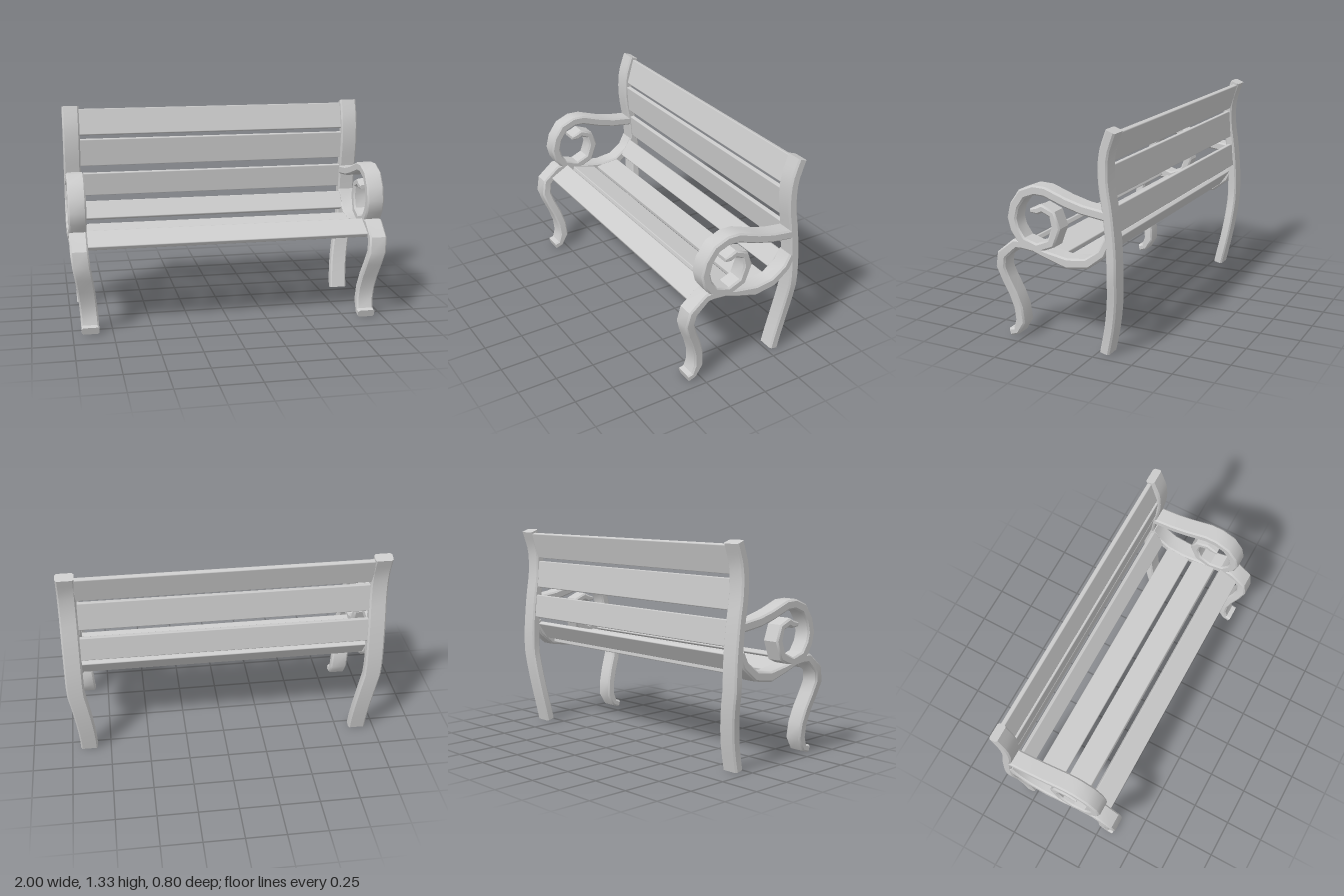
import * as THREE from 'three';
import { toCreasedNormals } from 'three/addons/utils/BufferGeometryUtils.js';
import { RoundedBoxGeometry } from 'three/addons/geometries/RoundedBoxGeometry.js';

const material = new THREE.MeshStandardMaterial({ color: 0xcccccc });
const SIDE_X = 0.945, HALF_DEPTH = 0.055, BEVEL = 0.01;

// Legs lean inward below the seat
const splay = (y) => 0.055 * Math.sin(Math.PI / 2 * THREE.MathUtils.clamp((0.5 - y) / 0.5, 0, 1));

// Sweeps a bevelled bar along a mitred path of [z, y, optional half width]
function bar(name, side, path, halfWidth) {
  const pos = [], index = [], n = path.length;
  const direction = (i) => new THREE.Vector2(path[i + 1][0] - path[i][0], path[i + 1][1] - path[i][1]).normalize();
  path.forEach(([z, y, w = halfWidth], i) => {
    const before = direction(Math.max(i - 1, 0)), after = direction(Math.min(i, n - 2));
    const t = before.clone().add(after).normalize();
    const miter = 1 / t.dot(after);
    const b = Math.min(BEVEL, w * 0.5), d = HALF_DEPTH;
    const section = [
      [w, -d + b], [w, d - b], [w - b, d], [-w + b, d],
      [-w, d - b], [-w, -d + b], [-w + b, -d], [w - b, -d],
    ];
    for (const [across, x] of section) {
      const py = y - t.x * across * miter, pz = z + t.y * across * miter;
      pos.push(side * (SIDE_X - splay(py)) + x, py, pz);
    }
  });
  for (let i = 0; i < n - 1; i++) {
    for (let j = 0; j < 8; j++) {
      const a = i * 8 + j, b = i * 8 + (j + 1) % 8;
      index.push(a, b, b + 8, a, b + 8, a + 8);
    }
  }
  const last = (n - 1) * 8;
  for (let j = 1; j < 7; j++) index.push(0, j + 1, j, last, last + j, last + j + 1);
  const geometry = new THREE.BufferGeometry();
  geometry.setAttribute('position', new THREE.Float32BufferAttribute(pos, 3));
  geometry.setIndex(index);
  const mesh = new THREE.Mesh(toCreasedNormals(geometry, 0.65), material);
  mesh.name = name;
  return mesh;
}

// Board spanning the bench, its width running from one [z, y] point to another
function slat(name, [z0, y0], [z1, y1]) {
  const width = Math.hypot(z1 - z0, y1 - y0);
  const mesh = new THREE.Mesh(new RoundedBoxGeometry(1.8, width, 0.03, 1, 0.006), material);
  mesh.position.set(0, (y0 + y1) / 2, (z0 + z1) / 2);
  mesh.rotation.x = Math.atan2(z1 - z0, y1 - y0);
  mesh.name = name;
  return mesh;
}

const postCurve = new THREE.CatmullRomCurve3([
  [-0.296, 0.01], [-0.337, 0.206], [-0.363, 0.402], [-0.369, 0.598], [-0.358, 0.758],
  [-0.344, 0.883], [-0.321, 1.043], [-0.326, 1.196], [-0.369, 1.327],
].map(([z, y]) => new THREE.Vector3(0, y, z)));
const postPath = postCurve.getPoints(20).map((p) => [p.z, p.y]);

// Front foot, leg and seat rail, up to the back post
const legAndRailPath = [
  [0.339, 0.027, 0.024], [0.3, 0.039, 0.022], [0.268, 0.105], [0.275, 0.194], [0.303, 0.285],
  [0.34, 0.372], [0.365, 0.45], [0.349, 0.53], [0.257, 0.609, 0.027], [0.213, 0.612, 0.026],
  [0.128, 0.598, 0.02], [0.057, 0.575, 0.022], [-0.09, 0.541, 0.031], [-0.215, 0.559, 0.029],
  [-0.309, 0.63, 0.026], [-0.346, 0.705, 0.024],
];

// Armrest from the back post, curling into a scroll
const armPath = [
  [-0.335, 0.851], [-0.19, 0.87], [-0.08, 0.899], [0.05, 0.945], [0.121, 0.947], [0.2, 0.915],
  [0.252, 0.842], [0.271, 0.765], [0.255, 0.701], [0.206, 0.63], [0.106, 0.605, 0.026],
  [0.014, 0.644, 0.026], [-0.021, 0.74, 0.027], [0.004, 0.819, 0.022], [0.069, 0.845, 0.022],
  [0.101, 0.829, 0.022], [0.142, 0.826, 0.012],
];

export function createModel() {
  const bench = new THREE.Group();
  bench.name = 'bench';

  for (const side of [1, -1]) {
    const frame = new THREE.Group();
    frame.name = side > 0 ? 'leftFrame' : 'rightFrame';
    frame.add(
      bar('backPost', side, postPath, 0.03),
      bar('frontLegAndSeatRail', side, legAndRailPath, 0.03),
      bar('scrollArmrest', side, armPath, 0.029),
    );
    bench.add(frame);
  }

  bench.add(
    slat('topBackSlat', [-0.325, 1.145], [-0.372, 1.312]),
    slat('upperBackSlat', [-0.335, 0.94], [-0.32, 1.12]),
    slat('middleBackSlat', [-0.36, 0.735], [-0.345, 0.888]),
    slat('lowerBackSlat', [-0.262, 0.59], [-0.335, 0.695]),
    slat('rearSeatSlat', [-0.215, 0.56], [-0.05, 0.543]),
    slat('middleSeatSlat', [-0.02, 0.55], [0.145, 0.592]),
    slat('frontSeatSlat', [0.182, 0.618], [0.312, 0.545]),
  );
  return bench;
}
